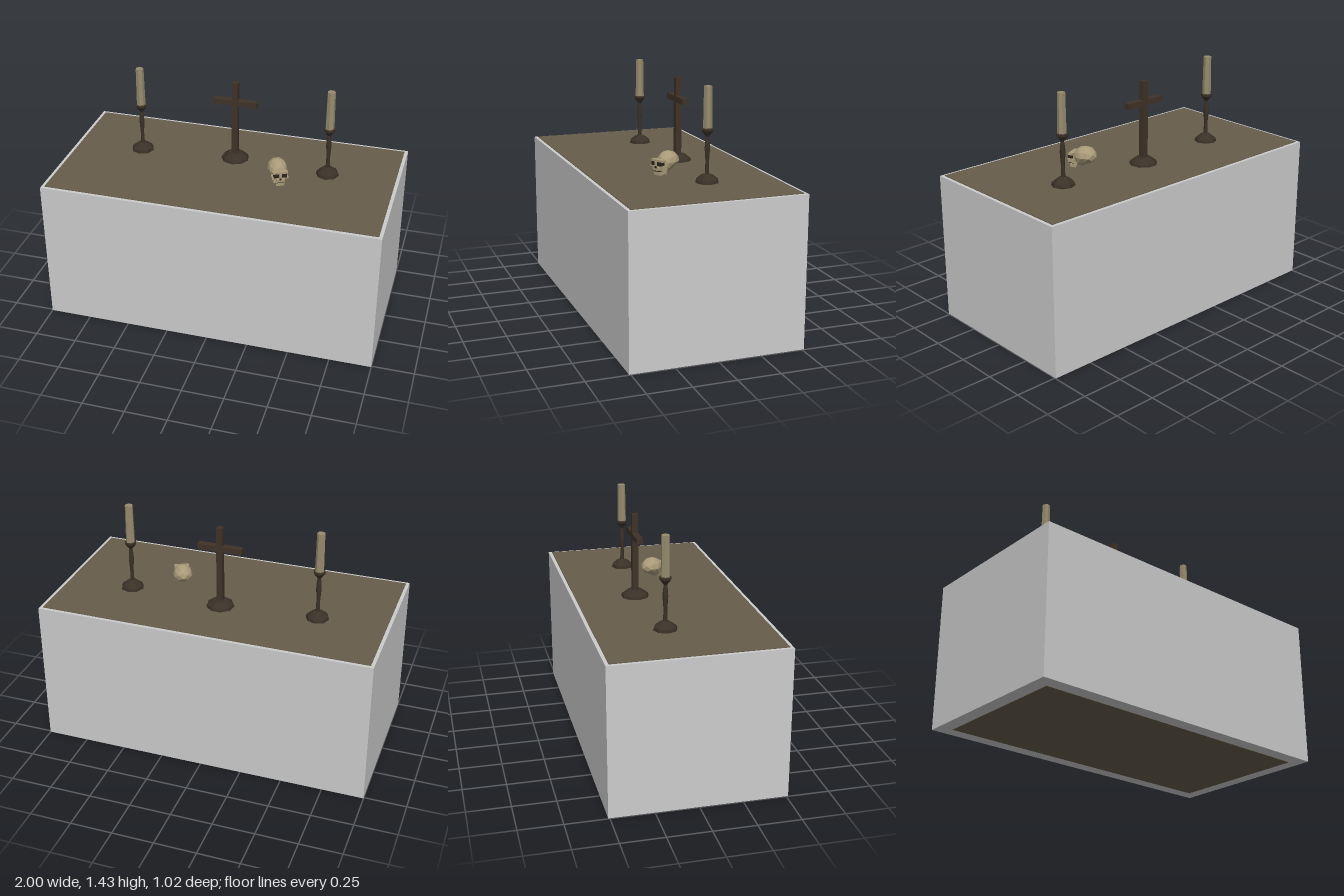
import * as THREE from 'three';

const mat = (name, color, opts = {}) => {
  const m = new THREE.MeshStandardMaterial({ color, flatShading: true, ...opts });
  m.name = name;
  return m;
};

export function createModel() {
  const cloth = mat('pale cloth', 0xcccccc);
  const wood = mat('brown wood', 0x665d4b);
  const darkWood = mat('dark wood', 0x3f3328);
  const iron = mat('dark iron', 0x3a3127);
  const wax = mat('candle wax', 0x968b6d);
  const bone = mat('bone', 0xa99a79);
  const socket = mat('socket shadow', 0x2a241c);

  const root = new THREE.Group();
  root.name = 'altar';

  const add = (parent, name, geo, material, x = 0, y = 0, z = 0) => {
    const m = new THREE.Mesh(geo, material);
    m.name = name;
    m.position.set(x, y, z);
    parent.add(m);
    return m;
  };
  const box = (parent, name, material, w, h, d, x, y, z) =>
    add(parent, name, new THREE.BoxGeometry(w, h, d), material, x, y, z);
  const lathe = (pts, sides) =>
    new THREE.LatheGeometry(pts.map(([r, y]) => new THREE.Vector2(r, y)), sides);

  // Table body, its underside panel and the raised top
  const TOP = 0.894;
  box(root, 'tableBody', cloth, 2, 0.888, 1.02, 0, 0.446, 0);
  box(root, 'undersidePanel', wood, 1.835, 0.006, 0.855, 0, 0.003, 0);
  box(root, 'tableTop', wood, 1.96, 0.006, 0.98, 0, TOP - 0.003, 0);

  // Standing cross on a faceted foot
  const cross = new THREE.Group();
  cross.name = 'cross';
  cross.position.set(0, TOP, -0.135);
  root.add(cross);
  add(cross, 'crossFoot', lathe([[0, 0], [0.084, 0], [0.078, 0.016], [0.045, 0.04], [0, 0.044]], 9), iron);
  box(cross, 'crossPost', darkWood, 0.036, 0.476, 0.036, 0, 0.268, 0);
  box(cross, 'crossArm', darkWood, 0.266, 0.034, 0.038, 0, 0.376, 0);

  // Pair of candlesticks
  const stickProfile = [[0, 0], [0.069, 0], [0.064, 0.018], [0.034, 0.042], [0.013, 0.05],
    [0.011, 0.12], [0.016, 0.19], [0.015, 0.22], [0.01, 0.26], [0.017, 0.27],
    [0.034, 0.292], [0.035, 0.304], [0.024, 0.308], [0, 0.308]];
  for (const side of [-1, 1]) {
    const stick = new THREE.Group();
    stick.name = side > 0 ? 'leftCandlestick' : 'rightCandlestick';
    stick.position.set(side * 0.578, TOP, -0.092);
    root.add(stick);
    add(stick, 'holder', lathe(stickProfile, 8), iron);
    add(stick, 'candle', new THREE.CylinderGeometry(0.024, 0.027, 0.238, 7), wax, 0, 0.421, 0);
  }

  // Skull turned towards its left
  const skull = new THREE.Group();
  skull.name = 'skull';
  skull.position.set(0.31, TOP, 0.055);
  skull.rotation.y = 0.44;
  root.add(skull);

  // Cranium: narrower below, with its underside rising to the back
  const cranium = new THREE.IcosahedronGeometry(1, 1);
  const p = cranium.attributes.position;
  for (let i = 0; i < p.count; i++) {
    const x = p.getX(i), y = p.getY(i), z = p.getZ(i);
    const low = Math.max(0, -y);
    p.setXYZ(i, x * 0.059 * (1 - 0.25 * low), y * 0.062 + low * 0.012 * (z < 0 ? 1 : 0),
      z * 0.071 + low * 0.02);
  }
  cranium.computeVertexNormals();
  add(skull, 'cranium', cranium, bone, 0, 0.073, -0.02);

  // Face bones
  box(skull, 'brow', bone, 0.09, 0.012, 0.03, 0, 0.087, 0.057);
  box(skull, 'noseBridge', bone, 0.014, 0.028, 0.03, 0, 0.07, 0.067);
  box(skull, 'faceCore', bone, 0.06, 0.05, 0.03, 0, 0.055, 0.045);
  box(skull, 'upperJaw', bone, 0.046, 0.02, 0.034, 0, 0.041, 0.064);
  box(skull, 'mouthGap', socket, 0.042, 0.008, 0.03, 0, 0.028, 0.06);
  box(skull, 'lowerJaw', bone, 0.05, 0.02, 0.03, 0, 0.013, 0.056);
  box(skull, 'noseHole', socket, 0.012, 0.013, 0.006, 0, 0.052, 0.08);
  for (const side of [-1, 1]) {
    box(skull, 'eyeSocket', socket, 0.03, 0.022, 0.03, side * 0.023, 0.07, 0.061);
    box(skull, 'cheekbone', bone, 0.024, 0.01, 0.045, side * 0.037, 0.055, 0.052);
    const ramus = box(skull, 'jawHinge', bone, 0.008, 0.042, 0.02, side * 0.029, 0.027, 0.03);
    ramus.rotation.x = -0.4;
  }
  return root;
}
